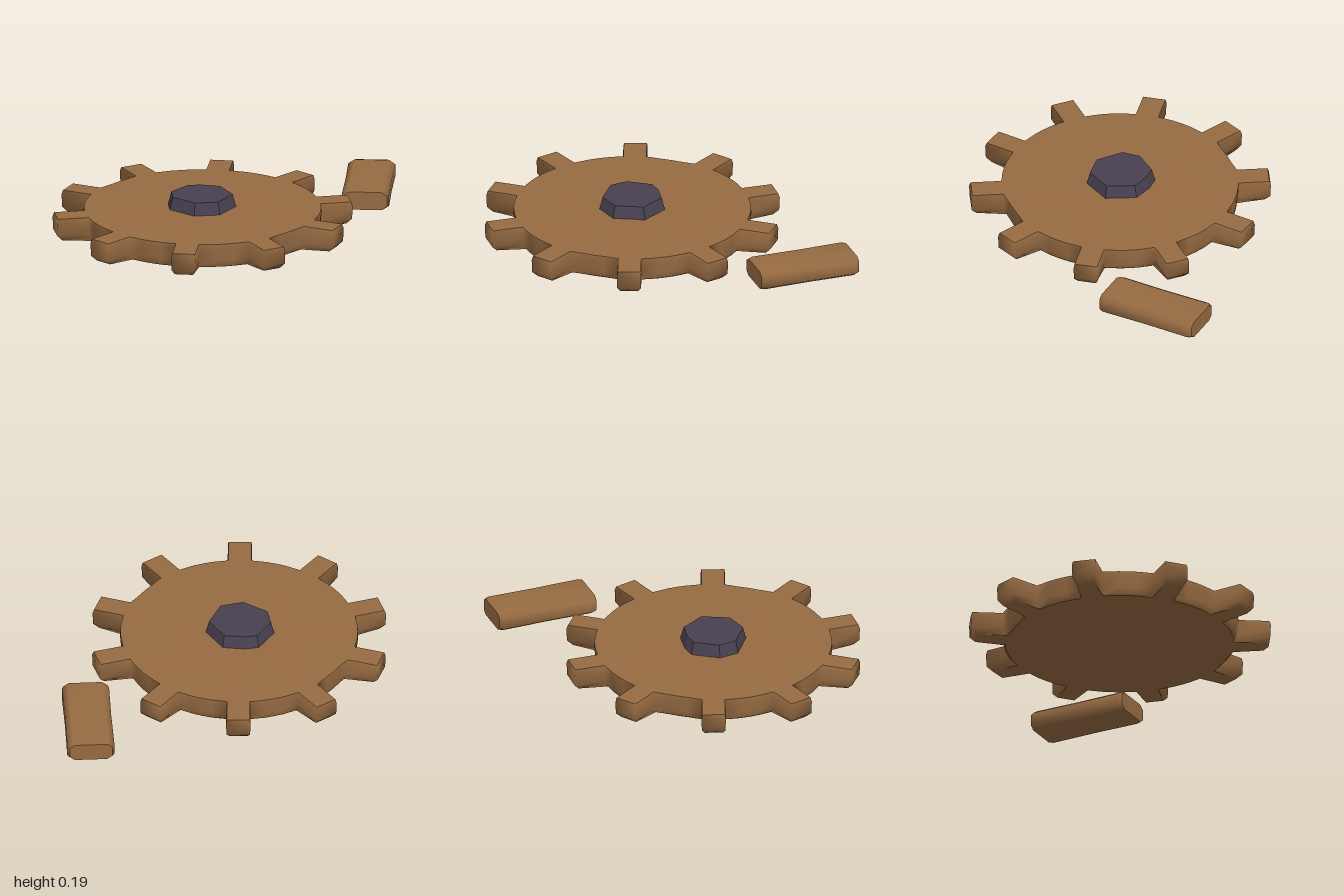
import * as THREE from 'three';
import { mergeGeometries, toCreasedNormals } from 'three/addons/utils/BufferGeometryUtils.js';

// Skin over stacked rings (counter-clockwise seen from +y), closed by flat end caps.
function loft(rings, capRise = 0, crease = null) {
  const n = rings[0].length;
  const build = (pts, index) => {
    const g = new THREE.BufferGeometry();
    g.setAttribute('position', new THREE.Float32BufferAttribute(pts.flat(), 3));
    g.setIndex(index);
    g.computeVertexNormals();
    return g;
  };
  const wall = [], bottom = [], top = [];
  for (let j = 0; j < rings.length - 1; j++) {
    for (let i = 0; i < n; i++) {
      const k = (i + 1) % n, a = j * n + i, b = j * n + k;
      wall.push(a, b, b + n, a, b + n, a + n);
    }
  }
  for (let i = 0; i < n; i++) {
    const k = (i + 1) % n;
    bottom.push(n, k, i);
    top.push(n, i, k);
  }
  const middle = (ring, rise) => {
    const c = [0, 0, 0];
    ring.forEach(p => p.forEach((v, i) => { c[i] += v / n; }));
    c[1] += rise;
    return c;
  };
  const last = rings[rings.length - 1];
  let side = build(rings.flat(), wall);
  if (crease !== null) side = toCreasedNormals(side, crease);
  return mergeGeometries([
    side.index ? side.toNonIndexed() : side,
    build([...rings[0], middle(rings[0], 0)], bottom).toNonIndexed(),
    build([...last, middle(last, capRise)], top).toNonIndexed()
  ]);
}

// Gear outline: each tooth has two roots and two tips, then three rim points follow in the gap.
function gearRing(y, rootR, tipR, halfWidth) {
  const pts = [];
  const put = (a, r, side) => pts.push([
    Math.cos(a) * r - Math.sin(a) * side, y, -Math.sin(a) * r - Math.cos(a) * side
  ]);
  for (let t = 0; t < 10; t++) {
    const a = t * Math.PI / 5;
    put(a, rootR, -halfWidth);
    put(a, tipR, -halfWidth);
    put(a, tipR, halfWidth);
    put(a, rootR, halfWidth);
    // the gaps facing front and back are cut straight
    const straight = t === 2 || t === 7;
    for (const f of [0.36, 0.5, 0.64]) {
      put(a + f * Math.PI / 5, straight ? rootR * 0.985 : rootR * 1.005, 0);
    }
  }
  return pts;
}

export function createModel() {
  const group = new THREE.Group();
  const wood = new THREE.MeshStandardMaterial({ color: 0x966b42 });
  wood.name = 'brown wood';
  const metal = new THREE.MeshStandardMaterial({ color: 0x484050 });
  metal.name = 'dark violet metal';
  const add = (name, geometry, material) => {
    const mesh = new THREE.Mesh(geometry, material);
    mesh.name = name;
    group.add(mesh);
    return mesh;
  };

  // Gear wheel, softly rounded underneath
  const gear = add('gearWheel', loft([
    gearRing(0.004, 0.565, 0.57, 0.056),
    gearRing(0.012, 0.575, 0.715, 0.045),
    gearRing(0.04, 0.58, 0.742, 0.059),
    gearRing(0.105, 0.587, 0.745, 0.06),
    gearRing(0.127, 0.585, 0.738, 0.057)
  ], 0.008), wood);
  gear.position.x = -0.255;

  // Irregular axle stub, tapering upward
  const outline = [[-0.41, -0.08], [-0.40, 0.08], [-0.30, 0.16], [-0.145, 0.125],
    [-0.09, -0.02], [-0.14, -0.11], [-0.195, -0.165], [-0.34, -0.155]];
  const hubRing = (y, s) => outline.map(([x, z]) => [-0.26 + (x + 0.26) * s, y, z * s]);
  add('axleStub', loft([hubRing(0.1, 1), hubRing(0.13, 1), hubRing(0.196, 0.9)], 0, 0.2), metal);

  // Loose broken tooth lying beside the wheel
  const section = [[0.05, 0.088], [0.05, -0.088], [0.03, -0.117], [-0.03, -0.117],
    [-0.05, -0.088], [-0.05, 0.088], [-0.03, 0.117], [0.03, 0.117]];
  const blockRing = (y, s) => section.map(([x, z]) => [x * s, y, z * s]);
  const block = loft([
    blockRing(-0.258, 0.92), blockRing(-0.235, 1), blockRing(0, 0.98),
    blockRing(0.235, 1), blockRing(0.258, 0.9)
  ]);
  block.rotateZ(-Math.PI / 2);
  block.rotateY(0.69);
  add('looseTooth', block, wood).position.set(0.715, 0.058, 0.215);

  return group;
}
